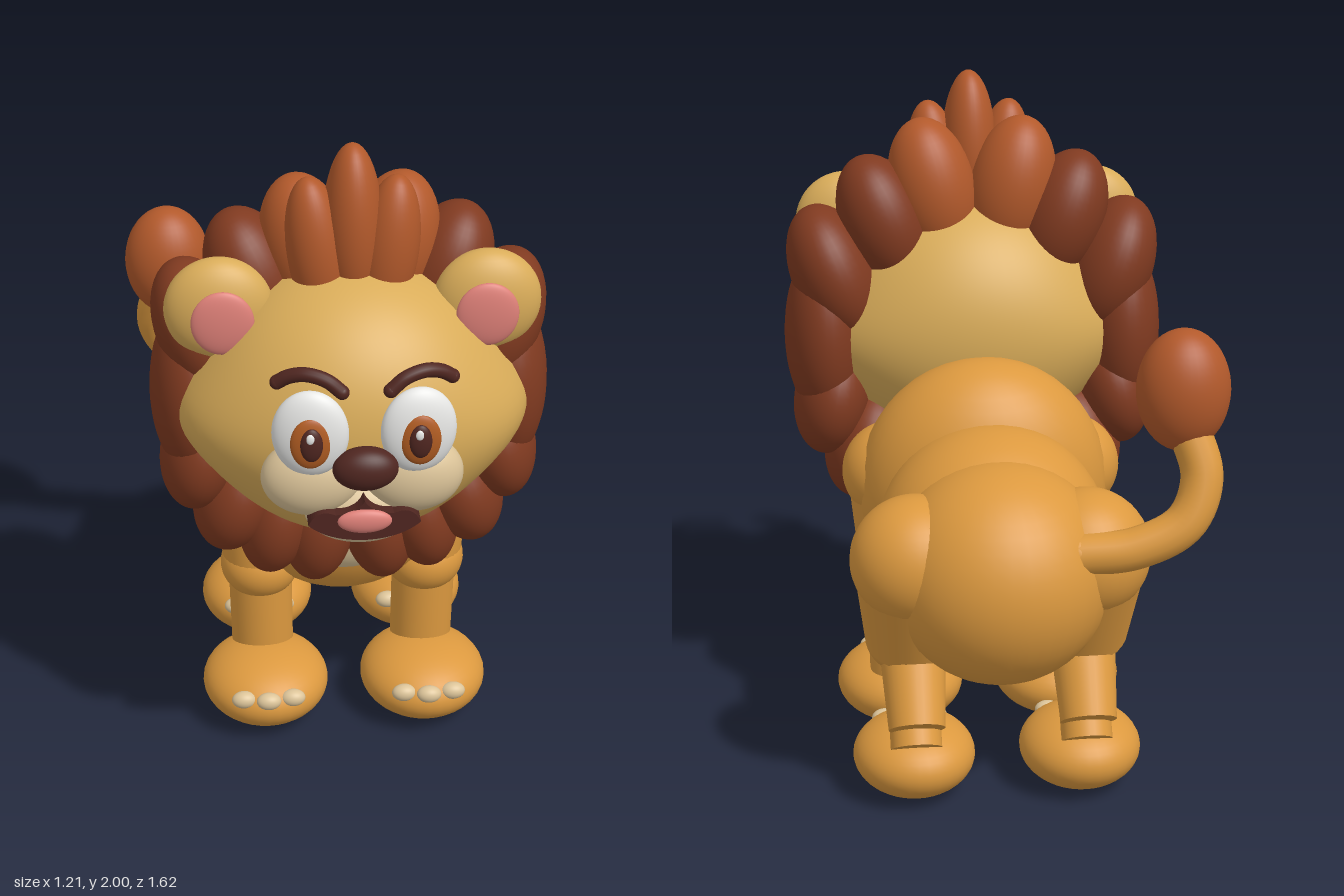
import * as THREE from 'three';

const mat = (name, color) => {
  const m = new THREE.MeshStandardMaterial({ color });
  m.name = name;
  return m;
};

export function createModel() {
  const body = mat('golden fur', 0xdc993f);
  const face = mat('tan face', 0xd9ac59);
  const maneDark = mat('dark mane', 0x803a20);
  const maneTop = mat('rust mane', 0xb2592b);
  const cream = mat('cream', 0xdcc499);
  const pink = mat('pink', 0xde8078);
  const brown = mat('dark brown', 0x4f2620);
  const white = mat('eye white', 0xe8e8e6);
  const iris = mat('iris', 0xb05c22);

  const model = new THREE.Group();
  model.name = 'lion';
  const lion = new THREE.Group();
  lion.name = 'wholeBody';
  lion.position.x = 0.03;
  model.add(lion);

  const V = (p) => new THREE.Vector3(...p);
  function add(name, geometry, material, parent = lion) {
    const mesh = new THREE.Mesh(geometry, material);
    mesh.name = name;
    parent.add(mesh);
    return mesh;
  }
  // Ellipsoid: centre, radii, rotation
  function blob(name, material, pos, radii, rot = [0, 0, 0]) {
    const mesh = add(name, new THREE.SphereGeometry(1, 36, 24), material);
    mesh.position.set(...pos);
    mesh.scale.set(...radii);
    mesh.rotation.set(...rot);
    return mesh;
  }
  // Tapered cylinder from a to b
  function limb(name, material, a, b, ra, rb) {
    const dir = V(b).sub(V(a));
    const mesh = add(name, new THREE.CylinderGeometry(rb, ra, dir.length(), 32), material);
    mesh.position.copy(V(a)).addScaledVector(dir, 0.5);
    mesh.quaternion.setFromUnitVectors(new THREE.Vector3(0, 1, 0), dir.normalize());
  }
  function tube(name, material, points, r) {
    const curve = new THREE.CatmullRomCurve3(points.map(V));
    add(name, new THREE.TubeGeometry(curve, 32, r, 14), material);
  }

  // Torso
  blob('chest', body, [0, 0.81, -0.05], [0.375, 0.41, 0.27], [-0.15, 0, 0]);
  blob('belly', body, [0, 0.725, -0.3], [0.345, 0.355, 0.33]);
  blob('rump', body, [0, 0.71, -0.49], [0.325, 0.325, 0.322]);
  blob('chestPatch', cream, [0, 0.72, 0.13], [0.2, 0.175, 0.115]);

  // Head: ellipsoid with a wider band at the cheeks
  const headGeo = new THREE.SphereGeometry(1, 64, 48);
  const hp = headGeo.attributes.position;
  for (let i = 0; i < hp.count; i++) {
    const y = hp.getY(i);
    hp.setX(i, hp.getX(i) * (1 + 0.15 * Math.exp(-((y + 0.08) ** 2) / 0.16)));
  }
  headGeo.scale(0.438, 0.41, 0.375);
  headGeo.computeVertexNormals();
  // Keep normals continuous across the seam of the sphere
  const hn = headGeo.attributes.normal;
  for (let r = 0; r <= 48; r++) {
    const a = r * 65, b = a + 64;
    const n = new THREE.Vector3(hn.getX(a) + hn.getX(b), hn.getY(a) + hn.getY(b), hn.getZ(a) + hn.getZ(b)).normalize();
    hn.setXYZ(a, n.x, n.y, n.z);
    hn.setXYZ(b, n.x, n.y, n.z);
  }
  add('head', headGeo, face).position.set(0, 1.24, 0.32);

  // Nose, chin, mouth and tongue
  blob('nose', brown, [0, 1.235, 0.755], [0.09, 0.063, 0.053]);
  blob('chin', cream, [0, 1.045, 0.645], [0.16, 0.098, 0.08]);
  const mouth = new THREE.Shape();
  mouth.moveTo(-0.155, 1.055);
  mouth.quadraticCurveTo(-0.13, 1.11, -0.08, 1.085);
  mouth.quadraticCurveTo(-0.02, 1.09, 0, 1.125);
  mouth.quadraticCurveTo(0.02, 1.09, 0.08, 1.085);
  mouth.quadraticCurveTo(0.13, 1.11, 0.155, 1.055);
  mouth.quadraticCurveTo(0.1, 1.005, 0, 1.003);
  mouth.quadraticCurveTo(-0.1, 1.005, -0.155, 1.055);
  add('mouth', new THREE.ExtrudeGeometry(mouth, { depth: 0.06, bevelEnabled: false }), brown).position.z = 0.685;
  blob('tongue', pink, [0, 1.065, 0.747], [0.075, 0.036, 0.02]);

  // Central crest of the mane
  blob('maneCrest', maneTop, [0, 1.755, 0.32], [0.083, 0.245, 0.105]);

  // Mane tufts on one side: x, y, z, radii, tilt, material
  const tufts = [
    [0.1, 1.69, 0.33, 0.085, 0.22, 0.09, -0.12, maneTop],
    [0.12, 1.66, 0.23, 0.13, 0.22, 0.135, -0.2, maneTop],
    [0.27, 1.57, 0.215, 0.13, 0.21, 0.15, -0.35, maneDark],
    [0.42, 1.41, 0.22, 0.13, 0.22, 0.18, -0.35, maneDark],
    [0.455, 1.22, 0.22, 0.12, 0.27, 0.18, 0, maneDark],
    [0.435, 1.02, 0.22, 0.115, 0.18, 0.175, 0.2, maneDark],
    [0.335, 0.87, 0.22, 0.12, 0.18, 0.165, 0.3, maneDark],
    [0.215, 0.79, 0.22, 0.11, 0.185, 0.155, 0.2, maneDark],
    [0.09, 0.76, 0.22, 0.11, 0.19, 0.145, 0.1, maneDark],
  ];

  for (const s of [-1, 1]) {
    const side = s > 0 ? 'left' : 'right';
    for (const [x, y, z, rx, ry, rz, tilt, m] of tufts)
      blob(side + 'ManeTuft', m, [s * x, y, z], [rx, ry, rz], [0, 0, s * tilt]);

    // Ears
    blob(side + 'Ear', face, [s * 0.375, 1.537, 0.357], [0.153, 0.153, 0.08]);
    blob(side + 'InnerEar', pink, [s * 0.367, 1.527, 0.435], [0.088, 0.095, 0.023]);

    // Muzzle and eyes
    blob(side + 'Muzzle', cream, [s * 0.14, 1.165, 0.66], [0.14, 0.115, 0.085]);
    blob(side + 'Eye', white, [s * 0.147, 1.33, 0.72], [0.105, 0.128, 0.045], [0, s * 0.12, 0]);
    blob(side + 'Iris', iris, [s * 0.148, 1.318, 0.757], [0.056, 0.075, 0.018]);
    blob(side + 'Pupil', brown, [s * 0.147, 1.32, 0.77], [0.031, 0.05, 0.016]);
    blob(side + 'EyeGlint', white, [s * 0.147 - 0.004, 1.345, 0.783], [0.011, 0.015, 0.006]);
    const browEnds = [[s * 0.065, 1.475, 0.765], [s * 0.235, 1.487, 0.715]];
    tube(side + 'Brow', brown, [browEnds[0], [s * 0.105, 1.507, 0.757], [s * 0.16, 1.52, 0.742], [s * 0.205, 1.508, 0.726], browEnds[1]], 0.02);
    for (const e of browEnds) blob(side + 'BrowEnd', brown, e, [0.02, 0.02, 0.02]);

    // Front leg
    blob(side + 'Shoulder', body, [s * 0.27, 0.85, 0], [0.15, 0.15, 0.15]);
    limb(side + 'FrontUpperLeg', body, [s * 0.27, 0.85, 0], [s * 0.255, 0.5, 0.01], 0.135, 0.112);
    blob(side + 'Elbow', body, [s * 0.255, 0.495, 0.01], [0.122, 0.11, 0.122]);
    limb(side + 'FrontLowerLeg', body, [s * 0.255, 0.48, 0.005], [s * 0.25, 0.2, -0.005], 0.098, 0.096);

    // Hind leg
    blob(side + 'Hip', body, [s * 0.245, 0.77, -0.515], [0.187, 0.187, 0.18]);
    limb(side + 'Thigh', body, [s * 0.25, 0.75, -0.51], [s * 0.25, 0.48, -0.41], 0.17, 0.135);
    blob(side + 'Knee', body, [s * 0.25, 0.485, -0.41], [0.135, 0.11, 0.13]);
    limb(side + 'HindLowerLeg', body, [s * 0.25, 0.48, -0.42], [s * 0.25, 0.265, -0.575], 0.098, 0.082);
    limb(side + 'Ankle', body, [s * 0.25, 0.29, -0.48], [s * 0.25, 0.19, -0.55], 0.075, 0.075);

    // Paws with three toes each
    for (const [name, z, rx, rz] of [['Front', 0.09, 0.195, 0.213], ['Hind', -0.425, 0.18, 0.195]]) {
      blob(side + name + 'Paw', body, [s * 0.247, 0.117, z], [rx, 0.117, rz]);
      for (const t of [-1, 0, 1])
        blob(side + name + 'Toe', cream, [s * 0.247 + t * 0.075, 0.155, z + rz - 0.02 - 0.015 * t * t],
          [0.038, 0.027, 0.027]);
    }
  }

  // Tail curling out to the right, with a tuft
  tube('tail', body, [[-0.2, 0.82, -0.655], [-0.36, 0.84, -0.675], [-0.5, 0.91, -0.67], [-0.55, 1.03, -0.635], [-0.51, 1.18, -0.58]], 0.06);
  blob('tailBase', body, [-0.2, 0.82, -0.655], [0.06, 0.06, 0.06]);
  blob('tailTuft', maneTop, [-0.505, 1.265, -0.565], [0.133, 0.177, 0.118]);

  return model;
}
